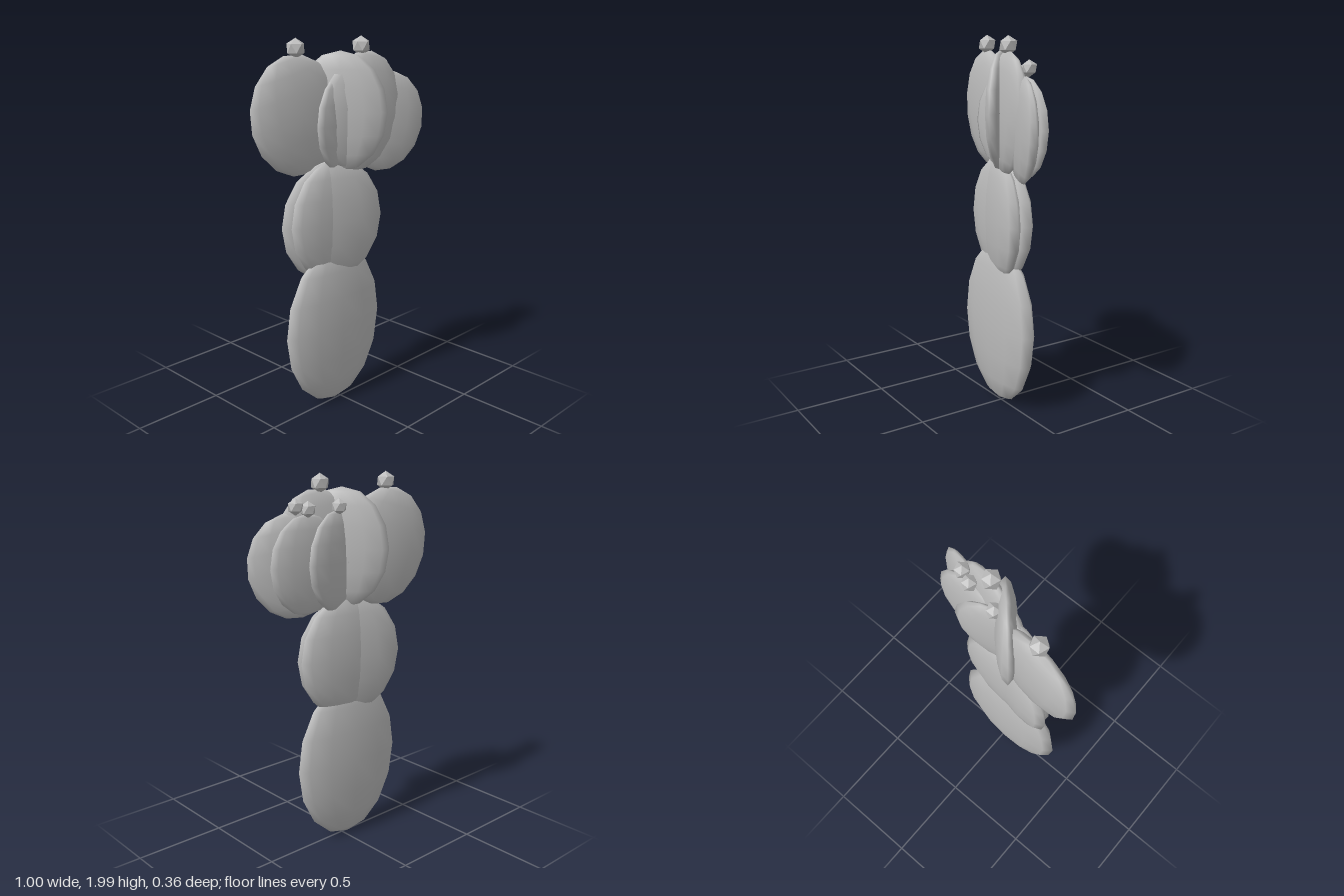
import * as THREE from 'three';

export function createModel() {
  const group = new THREE.Group();
  const grey = new THREE.MeshStandardMaterial({ color: 0xbcbcbc });
  grey.name = 'plainGrey';

  // flattened pad: centre, half sizes, slope of z along x, lean in the pad's plane
  const padGeometry = new THREE.SphereGeometry(1, 12, 8);
  const addPad = (name, [x, y, z], [w, h, t], yaw, lean = 0) => {
    const pad = new THREE.Mesh(padGeometry, grey);
    pad.name = name;
    pad.position.set(x, y, z);
    pad.scale.set(w, h, t);
    pad.rotation.set(0, -yaw, lean);
    group.add(pad);
  };

  // trunk pads
  addPad('basePad', [-0.036, 0.455, -0.01], [0.339, 0.449, 0.077], 0.04);
  addPad('middlePad', [-0.043, 1.045, -0.013], [0.303, 0.335, 0.066], 0.26);
  addPad('middleBackPad', [-0.02, 1.05, -0.018], [0.298, 0.33, 0.066], 0.06);

  // crown pads
  addPad('rightCrownPad', [-0.23, 1.615, -0.075], [0.272, 0.31, 0.064], 0.155, 0.25);
  addPad('crossCrownPad', [0, 1.62, 0], [0.243, 0.31, 0.058], 0.84);
  addPad('leftCrownPad', [0.112, 1.615, 0.042], [0.245, 0.313, 0.058], 0.21, -0.2);
  addPad('smallCrownPad', [0.04, 1.56, -0.018], [0.234, 0.262, 0.044], -0.19);
  addPad('outerLeftPad', [0.275, 1.547, 0.06], [0.236, 0.268, 0.046], 0.34, -0.2);
  addPad('innerLeftPad', [0.22, 1.555, 0.012], [0.222, 0.255, 0.043], 0.06);

  // faceted fruits, one corner pointing up
  const fruitGeometry = new THREE.IcosahedronGeometry(1, 0);
  fruitGeometry.rotateX(-Math.atan((1 + Math.sqrt(5)) / 2));
  fruitGeometry.computeVertexNormals();
  const fruits = [
    [-0.24, 1.95, -0.07, 0.05],
    [0.115, 1.95, 0.035, 0.05],
    [0.045, 1.835, -0.03, 0.042],
    [0.28, 1.845, 0.025, 0.042],
    [0.22, 1.83, 0.003, 0.042],
  ];
  for (const [x, y, z, r] of fruits) {
    const fruit = new THREE.Mesh(fruitGeometry, grey);
    fruit.name = 'fruit';
    fruit.position.set(x, y, z);
    fruit.scale.setScalar(r);
    group.add(fruit);
  }
  return group;
}
